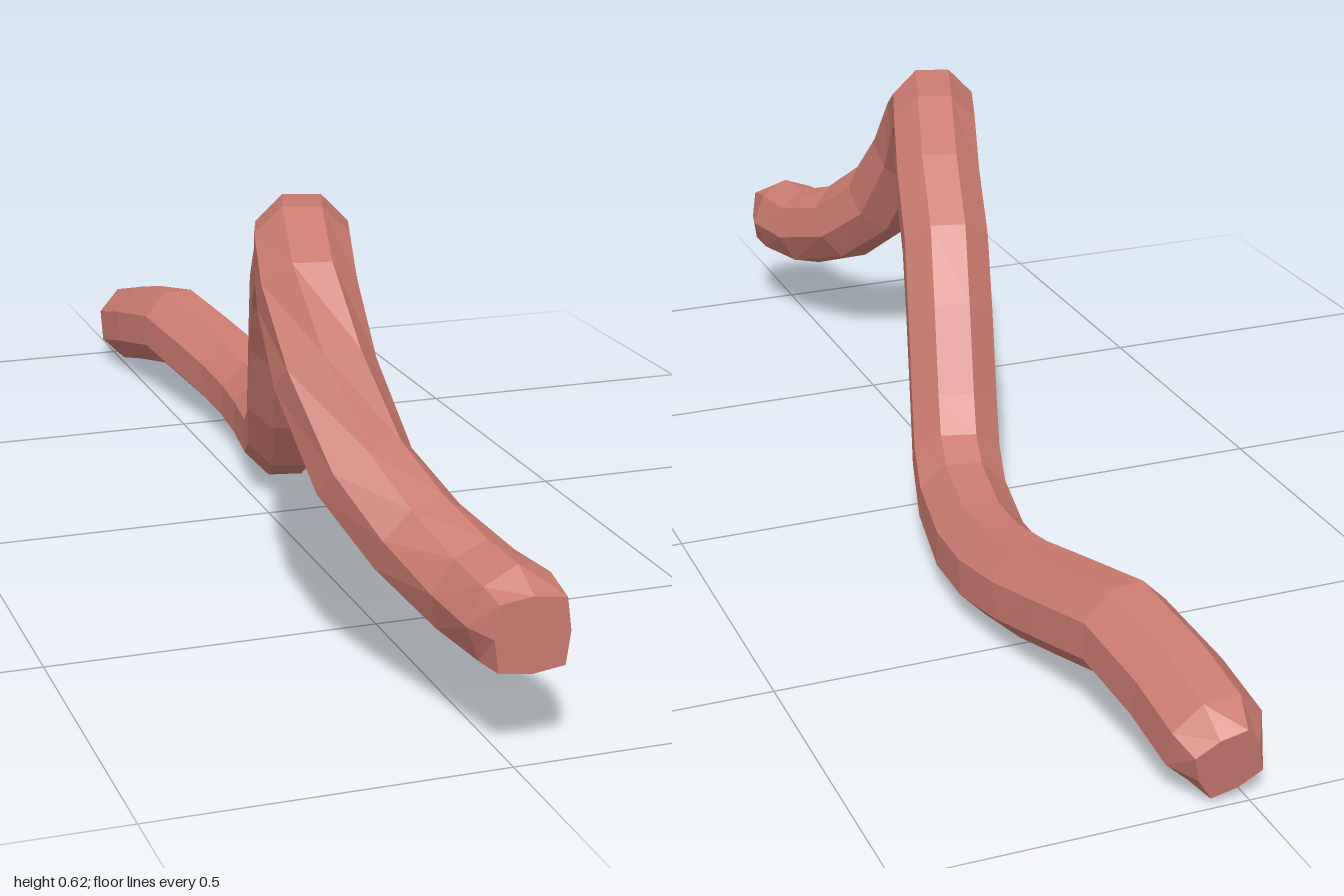
import * as THREE from 'three';

// Centre line from front to back: x, y, z of each ring
const PATH = [
  [0.018, 0.193, 0.95], [0.0, 0.2, 0.86], [-0.04, 0.24, 0.755], [-0.085, 0.31, 0.67],
  [-0.11, 0.425, 0.58], [-0.106, 0.515, 0.49], [-0.083, 0.555, 0.4], [-0.052, 0.547, 0.31],
  [-0.02, 0.49, 0.21], [0.005, 0.415, 0.11], [0.025, 0.32, 0.04], [0.045, 0.195, -0.03],
  [0.06, 0.125, -0.08], [0.08, 0.085, -0.16], [0.105, 0.075, -0.3], [0.11, 0.08, -0.4],
  [0.1, 0.093, -0.5], [0.08, 0.11, -0.6], [0.055, 0.13, -0.72], [0.037, 0.105, -0.85],
  [0.03, 0.08, -0.95],
].map((p) => new THREE.Vector3(...p));

const SIDES = 8;
const RADIUS = 0.074;

// One octagonal ring square to the given direction; the section can be rolled and squared off
function ring(centre, dir, roll, edgeRadius, cornerRadius) {
  const side = new THREE.Vector3().crossVectors(new THREE.Vector3(0, 1, 0), dir).normalize();
  const up = new THREE.Vector3().crossVectors(dir, side);
  return Array.from({ length: SIDES }, (_, i) => {
    const a = (i / SIDES) * Math.PI * 2 + roll;
    const r = i % 2 ? cornerRadius : edgeRadius;
    return centre.clone().addScaledVector(side, Math.cos(a) * r).addScaledVector(up, Math.sin(a) * r);
  });
}

export function createModel() {
  const group = new THREE.Group();
  group.name = 'curvedBody';
  const material = new THREE.MeshStandardMaterial({ color: 0xca7b6f, flatShading: true });
  material.name = 'dusty pink';

  // Rings along the body; the section twists slightly behind the front end
  const last = PATH.length - 1;
  const rings = PATH.map((p, i) => {
    const dir = PATH[Math.max(i - 1, 0)].clone().sub(PATH[Math.min(i + 1, last)]).normalize();
    const roll = -Math.PI / 8 * Math.min(i / 4, 1);
    return ring(p, dir, roll, RADIUS, RADIUS);
  });

  // Smaller squarish rings make the bevelled ends
  const frontTip = new THREE.Vector3(0.022, 0.186, 1);
  const backTip = new THREE.Vector3(0.032, 0.068, -1);
  rings.unshift(ring(frontTip, new THREE.Vector3(0, 0, 1), 0, 0.053, 0.066));
  rings.push(ring(backTip, new THREE.Vector3(0, 0.15, 1).normalize(), -Math.PI / 8, 0.046, 0.056));

  const build = (name, triangles) => {
    const geometry = new THREE.BufferGeometry().setFromPoints(triangles);
    geometry.computeVertexNormals();
    const mesh = new THREE.Mesh(geometry, material);
    mesh.name = name;
    group.add(mesh);
  };

  // Skin between neighbouring rings
  const skin = [];
  for (let r = 0; r < rings.length - 1; r++) {
    for (let i = 0; i < SIDES; i++) {
      const j = (i + 1) % SIDES;
      const [a, b, c, d] = [rings[r][i], rings[r + 1][i], rings[r + 1][j], rings[r][j]];
      skin.push(a, b, c, a, c, d);
    }
  }
  build('body', skin);

  // Flat end faces
  const cap = (points, centre, flip) => points.flatMap((p, i) => {
    const q = points[(i + 1) % SIDES];
    return flip ? [centre, q, p] : [centre, p, q];
  });
  build('frontEnd', cap(rings[0], frontTip, false));
  build('backEnd', cap(rings[rings.length - 1], backTip, true));

  return group;
}
